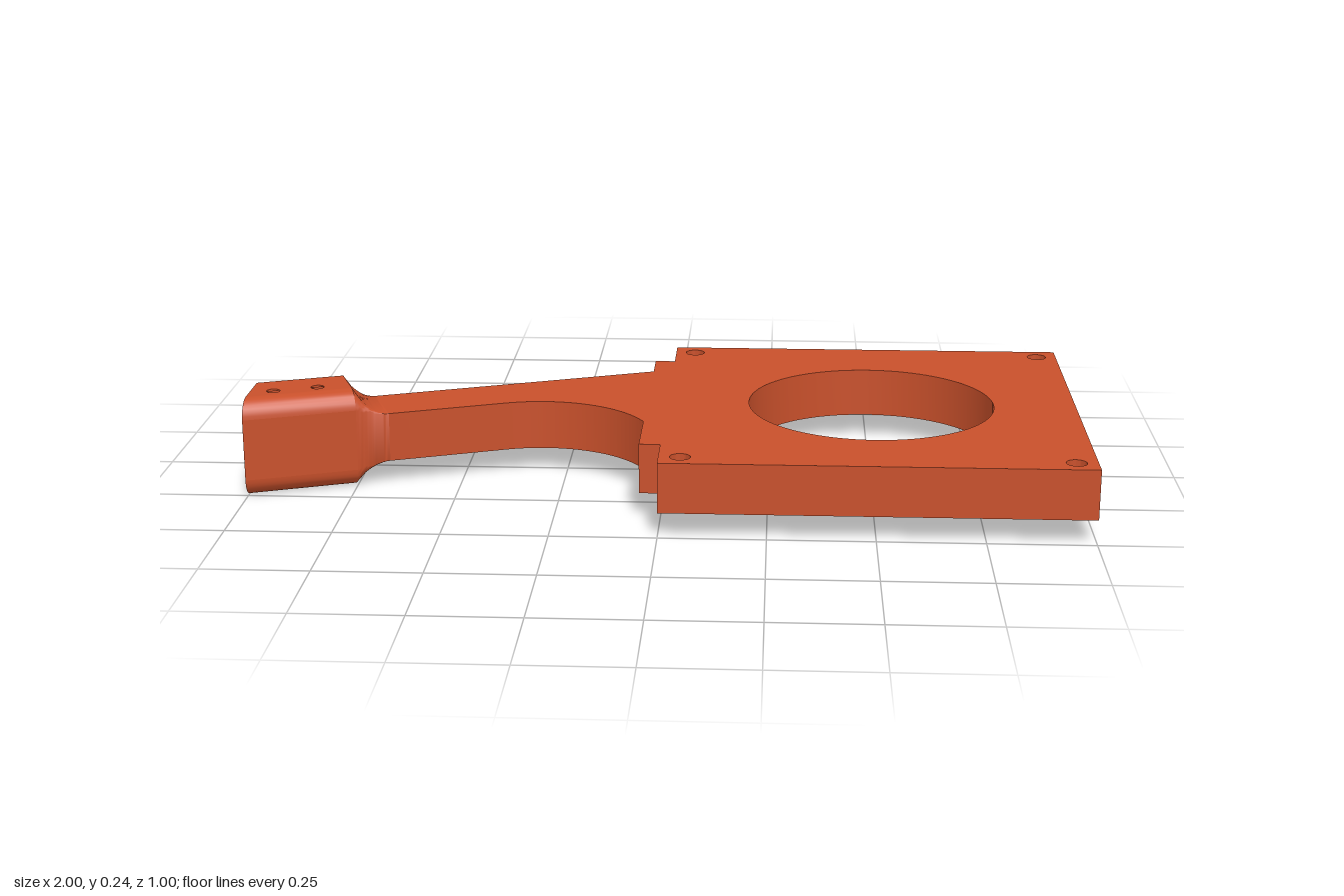
import * as THREE from 'three';
import { toCreasedNormals } from 'three/addons/utils/BufferGeometryUtils.js';

const TILT = Math.atan(0.38), C = Math.cos(TILT), S = Math.sin(TILT);
const Y0 = 0.06, THICK = 0.12, MID = 0.12;       // plate underside, thickness, mid height
const BLOCK_W = 0.198, ARM_W = 0.16, HALF_H = 0.12, ROUND = 0.045;
const NECK = 0.08;                               // length of the blend from arm to block

// Arm frame: u runs outward along the arm, w from its front side to its back side
const at = (u, w, y) => new THREE.Vector3(-0.745 - u * C - w * S, y, 0.175 + u * S - w * C);
// The block is cut off square to x at its outer end
const uEnd = (w) => (0.255 - w * S) / C;

function circlePath(x, y, r) {
  return new THREE.Path().absarc(x, y, r, 0, Math.PI * 2, false);
}

// Skin between rows of points
function loft(rows, closed = false) {
  const n = rows[0].length, index = [];
  for (let i = 0; i < rows.length - 1; i++) {
    for (let j = 0; j < (closed ? n : n - 1); j++) {
      const a = i * n + j, b = i * n + (j + 1) % n;
      index.push(a, b, a + n, b, b + n, a + n);
    }
  }
  const geo = new THREE.BufferGeometry().setFromPoints(rows.flat());
  geo.setIndex(index);
  return toCreasedNormals(geo, 0.6);
}

// Flat shape carried into the arm frame by a mapping of its two coordinates
function panel(points, holes, map) {
  const shape = new THREE.Shape(points.map(([a, b]) => new THREE.Vector2(a, b)));
  holes.forEach(([a, b, r]) => shape.holes.push(circlePath(a, b, r)));
  const geo = new THREE.ShapeGeometry(shape, 24);
  const pos = geo.attributes.position;
  for (let i = 0; i < pos.count; i++) {
    const p = map(pos.getX(i), pos.getY(i));
    pos.setXYZ(i, p.x, p.y, p.z);
  }
  geo.computeVertexNormals();
  return geo;
}

// One rounded corner (0..3) of the arm's cross-section, as [w, y]
function corner(k, width, half, r) {
  const cw = k === 0 || k === 3 ? width - r : r;
  const cy = k < 2 ? MID + half - r : MID - half + r;
  return Array.from({ length: 9 }, (_, i) => {
    const a = (k + i / 8) * Math.PI / 2;
    return [cw + r * Math.cos(a), cy + r * Math.sin(a)];
  });
}
const section = (width, half, r) => [0, 1, 2, 3].flatMap((k) => corner(k, width, half, r));

export function createModel() {
  const model = new THREE.Group();
  model.name = 'mountingPlateWithArm';
  const mat = new THREE.MeshStandardMaterial({ color: 0xc8502b, side: THREE.DoubleSide });
  const add = (name, geo, parent = model) => {
    const mesh = new THREE.Mesh(geo, mat);
    mesh.name = name;
    parent.add(mesh);
    return mesh;
  };

  // Square plate and flat arm in one outline (shape y is -z)
  const front = at(-NECK, 0, 0), back = at(-NECK, ARM_W, 0);
  const outline = new THREE.Shape();
  outline.moveTo(0, 0.5);
  outline.lineTo(1, 0.5);
  outline.lineTo(1, -0.5);
  outline.lineTo(0, -0.5);
  outline.lineTo(0, -0.26);
  outline.lineTo(-0.05, -0.26);
  outline.lineTo(-0.05, -0.18);
  outline.absarc(-0.3, -0.304, 0.279, 0.46, Math.PI / 2 + TILT, false);
  outline.lineTo(front.x, -front.z);
  outline.lineTo(back.x, -back.z);
  outline.lineTo(-0.05, 0.26);
  outline.lineTo(0, 0.26);
  outline.closePath();
  outline.holes.push(circlePath(0.5, 0, 0.3));
  for (const x of [0.05, 0.95]) {
    for (const y of [-0.45, 0.45]) outline.holes.push(circlePath(x, y, 0.024));
  }
  const plate = new THREE.ExtrudeGeometry(outline, { depth: THICK, bevelEnabled: false, curveSegments: 48 });
  plate.rotateX(-Math.PI / 2).translate(0, Y0, 0);
  add('plateAndArm', toCreasedNormals(plate, 0.5));

  // Drilled tabs on either side of the arm root
  for (const side of [-1, 1]) {
    const s = new THREE.Shape();
    s.moveTo(-0.05, -THICK / 2);
    s.lineTo(0.05, -THICK / 2);
    s.lineTo(0.05, THICK / 2);
    s.lineTo(-0.05, THICK / 2);
    s.closePath();
    s.holes.push(circlePath(0, 0, 0.019));
    const tab = new THREE.ExtrudeGeometry(s, { depth: 0.05, bevelEnabled: false, curveSegments: 24 });
    tab.rotateY(-Math.PI / 2).translate(0, MID, side * 0.31);
    add(side < 0 ? 'backTab' : 'frontTab', toCreasedNormals(tab, 0.5));
  }

  // Concave blend from the thin arm to the taller block
  const rows = [];
  for (let i = 0; i <= 16; i++) {
    const s = NECK * i / 16;
    const half = s < 0.02 ? HALF_H - 1.5 * s : 0.06 + 0.03 * ((NECK - s) / 0.06) ** 2;
    const width = ARM_W + (BLOCK_W - ARM_W) * (1 - THREE.MathUtils.smoothstep(s, 0, 0.05));
    const r = Math.max(0.001, ROUND * (half - 0.06) / 0.06);
    rows.push(section(width, half, r).map(([w, y]) => at(-s, w, y)));
  }
  add('armBlend', loft(rows, true));

  // End block: rounded edges, flat sides with drilled holes, slanted end
  const block = new THREE.Group();
  block.name = 'endBlock';
  model.add(block);
  const inner = BLOCK_W - ROUND, lo = ROUND, hi = 2 * HALF_H - ROUND, R = 0.016;
  for (let k = 0; k < 4; k++) {
    const arc = corner(k, BLOCK_W, HALF_H, ROUND);
    add('roundedEdge', loft([0, 1].map((t) => arc.map(([w, y]) => at(t * uEnd(w), w, y)))), block);
  }
  const topHoles = [[0.0775, 0.077, R], [0.185, 0.077, R]];
  const topPoints = [[0, ROUND], [uEnd(ROUND), ROUND], [uEnd(inner), inner], [0, inner]];
  add('blockTop', panel(topPoints, topHoles, (u, w) => at(u, w, 2 * HALF_H)), block);
  add('blockBottom', panel(topPoints, topHoles, (u, w) => at(u, w, 0)), block);

  const backHoles = [[0.05, MID, R], [0.155, MID, R]];
  const sidePoints = (w) => [[0, lo], [uEnd(w), lo], [uEnd(w), hi], [0, hi]];
  add('blockBack', panel(sidePoints(BLOCK_W), backHoles, (u, y) => at(u, BLOCK_W, y)), block);
  add('blockFront', panel(sidePoints(0), [], (u, y) => at(u, 0, y)), block);

  const endHole = [0.115, MID, R];
  add('blockEnd', panel(section(BLOCK_W, HALF_H, ROUND), [endHole], (w, y) => at(uEnd(w), w, y)), block);

  // Walls of the holes: map(a, b, t) runs from the mouth (t=0) to the far end (t=1)
  const bore = (name, [a, b, r], map, blind) => {
    const ring = circlePath(a, b, r).getPoints(24).map((p) => [p.x, p.y]).slice(0, 24);
    add(name, loft([0, 1].map((t) => ring.map(([x, y]) => map(x, y, t))), true), block);
    if (blind) add(name + 'Floor', panel(ring, [], (x, y) => map(x, y, 1)), block);
  };
  topHoles.forEach((h) => bore('verticalHole', h, (u, w, t) => at(u, w, 2 * HALF_H * (1 - t)), false));
  backHoles.forEach((h) => bore('backHole', h, (u, y, t) => at(u, BLOCK_W - 0.08 * t, y), true));
  bore('endHole', endHole, (w, y, t) => at(uEnd(w) - 0.04 * t, w, y), true);

  return model;
}
